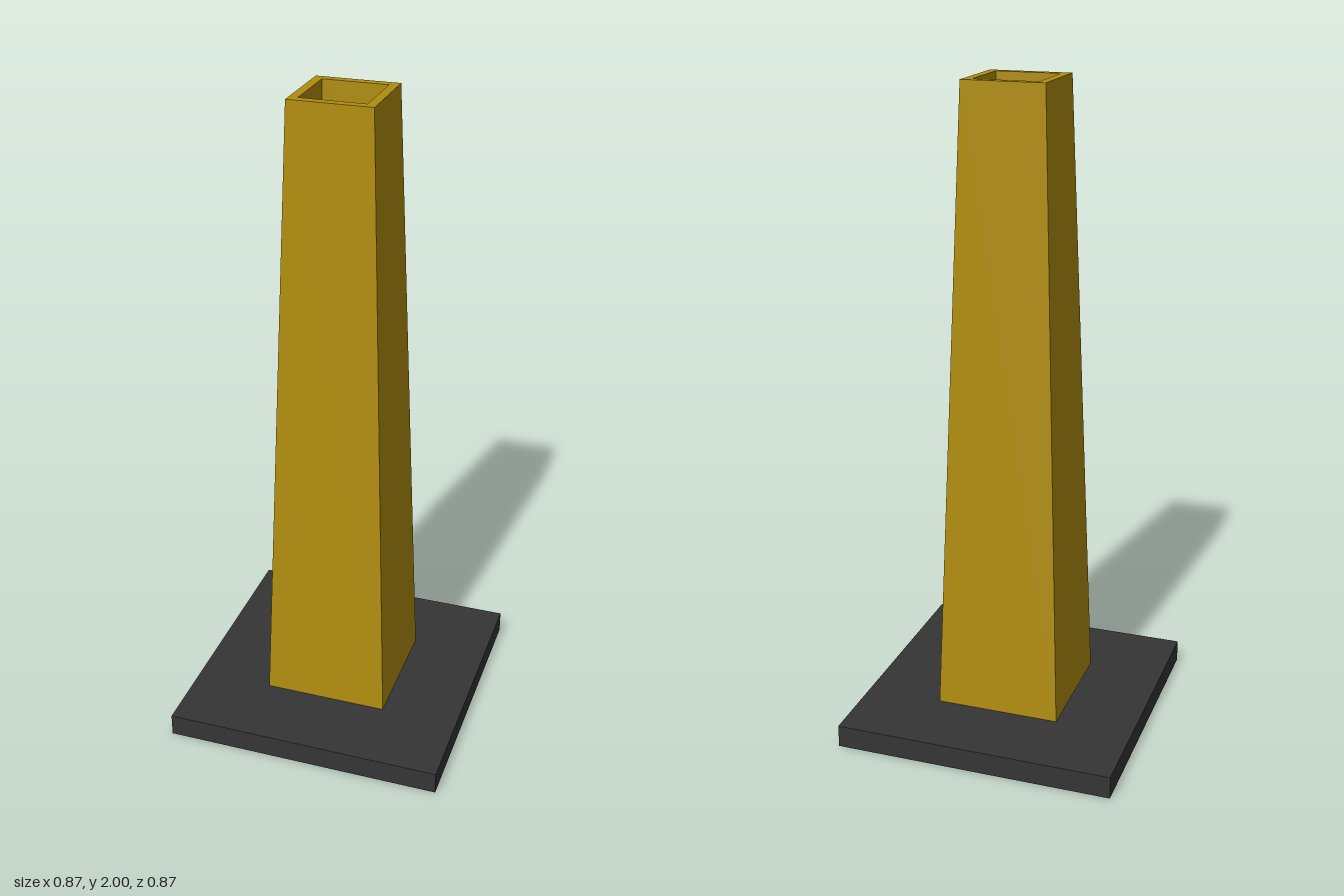
import * as THREE from 'three';

// Square shell: a four-sided lathe of [halfWidth, y] points, with flat faces
function squareShell(profile) {
  const points = profile.map(([half, y]) => new THREE.Vector2(half * Math.SQRT2, y));
  const geometry = new THREE.LatheGeometry(points, 4, Math.PI / 4).toNonIndexed();
  geometry.computeVertexNormals();
  return geometry;
}

function addPart(group, name, profile, material) {
  const mesh = new THREE.Mesh(squareShell(profile), material);
  mesh.name = name;
  group.add(mesh);
}

export function createModel() {
  const group = new THREE.Group();
  group.name = 'squareTrafficCone';

  const yellow = new THREE.MeshStandardMaterial({ color: 0xb08d0e, side: THREE.DoubleSide });
  yellow.name = 'yellow';
  const black = new THREE.MeshStandardMaterial({ color: 0x353535, side: THREE.DoubleSide });
  black.name = 'black';

  // Base plate: open underneath, with a square hole where the cone stands
  addPart(group, 'base', [[0.433, 0], [0.433, 0.07], [0.193, 0.07]], black);

  // Tapered hollow body
  addPart(group, 'coneBody', [[0.193, 0.07], [0.125, 2]], yellow);

  // Rim and recessed socket at the top
  addPart(group, 'topSocket', [[0.125, 2], [0.098, 2], [0.098, 1.75], [0, 1.75]], yellow);

  return group;
}
